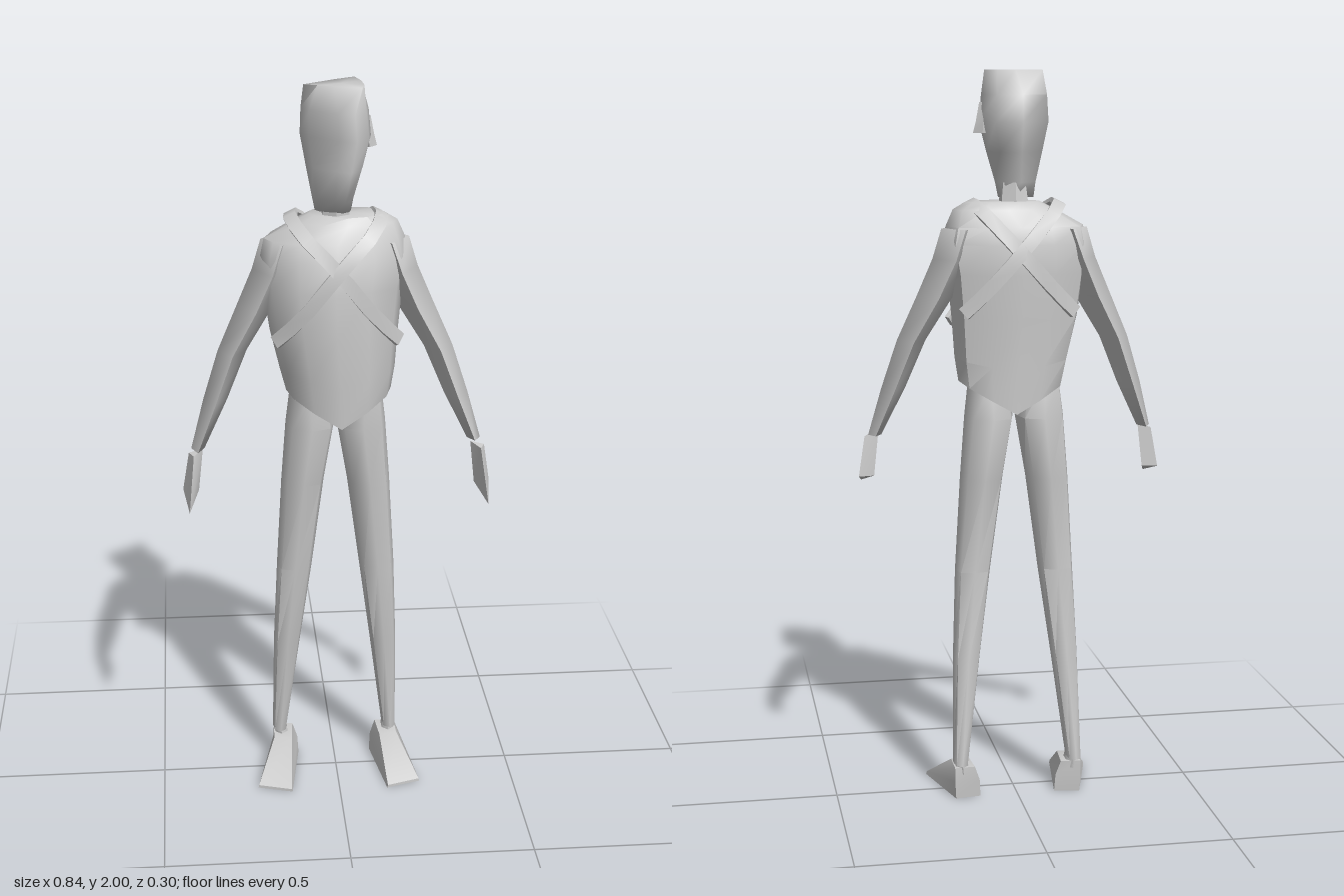
import * as THREE from 'three';
import { toCreasedNormals } from 'three/addons/utils/BufferGeometryUtils.js';

const material = new THREE.MeshStandardMaterial({ color: 0xcccccc, side: THREE.DoubleSide });

// Skin a list of rings (bottom to top, each counterclockwise from above) and close both ends.
function loft(name, rings, crease = 1) {
  const n = rings[0].length, last = rings.length - 1;
  const pos = rings.flat(2), index = [];
  for (let i = 0; i < last; i++) {
    for (let j = 0; j < n; j++) {
      const a = i * n + j, b = i * n + (j + 1) % n;
      index.push(a, b, b + n, a, b + n, a + n);
    }
  }
  [[0, true], [last, false]].forEach(([r, down]) => {
    const c = pos.length / 3;
    for (let k = 0; k < 3; k++) pos.push(rings[r].reduce((s, p) => s + p[k], 0) / n);
    for (let j = 0; j < n; j++) {
      const a = r * n + j, b = r * n + (j + 1) % n;
      index.push(...(down ? [c, b, a] : [c, a, b]));
    }
  });
  const g = new THREE.BufferGeometry();
  g.setAttribute('position', new THREE.Float32BufferAttribute(pos, 3));
  g.setIndex(index);
  const mesh = new THREE.Mesh(toCreasedNormals(g, crease), material);
  mesh.name = name;
  return mesh;
}

// Regular cross-section in the unit square, starting at the front.
function polygon(sides) {
  return Array.from({ length: sides }, (_, j) => {
    const t = (j / sides) * Math.PI * 2;
    return [Math.sin(t), Math.cos(t)];
  });
}

// Ring from [y, x min, x max, z back, z front]; sag pulls the middle down to a point.
function ring([y, x0, x1, z0, z1, sag = 0], section) {
  return section.map(([u, v]) => [
    (x0 + x1) / 2 + u * (x1 - x0) / 2, y - sag * (1 - Math.abs(u)), (z0 + z1) / 2 + v * (z1 - z0) / 2]);
}

// Mirror rings of points for the left (side 1) or right (side -1).
function mirrored(rings, side) {
  return rings.map(r => {
    const pts = r.map(([x, y, z]) => [x * side, y, z]);
    return side < 0 ? pts.reverse() : pts;
  });
}

function limb(name, side, rows, section, crease) {
  return loft(name, mirrored(rows.map(r => ring(r, section)), side), crease);
}

// Flat band following a path, its broad face turned outward from the body.
function strap(name, points) {
  const curve = new THREE.CatmullRomCurve3(points.map(p => new THREE.Vector3(...p)), false, 'centripetal');
  const rings = [], steps = 14;
  for (let i = 0; i <= steps; i++) {
    const p = curve.getPoint(i / steps), t = curve.getTangent(i / steps);
    const out = new THREE.Vector3(p.x * 0.4, Math.max(0, p.y - 1.5) * 0.7, p.z);
    out.addScaledVector(t, -out.dot(t)).normalize();
    const across = new THREE.Vector3().crossVectors(out, t);
    rings.push([[-1, -1], [1, -1], [1, 1], [-1, 1]].map(([u, v]) =>
      p.clone().addScaledVector(across, u * 0.018).addScaledVector(out, v * 0.007).toArray()));
  }
  return loft(name, rings, 0.8);
}

export function createModel() {
  const model = new THREE.Group();
  model.name = 'figure';

  // Torso: ridged front, flat back, hem pointed at front and back, sloping shoulders
  const torsoSection = [[0, 1], [0.5, 0.82], [0.88, 0.45], [1, 0], [0.87, -0.7], [0.45, -0.95],
    [0, -1], [-0.45, -0.95], [-0.87, -0.7], [-1, 0], [-0.88, 0.45], [-0.5, 0.82]];
  model.add(loft('torso', [
    [1.165, -0.135, 0.15, -0.11, 0.11, 0.08],
    [1.23, -0.152, 0.16, -0.113, 0.118, 0.03],
    [1.34, -0.178, 0.168, -0.118, 0.12],
    [1.46, -0.195, 0.18, -0.127, 0.12],
    [1.54, -0.2, 0.195, -0.127, 0.105],
    [1.585, -0.19, 0.185, -0.115, 0.085],
    [1.63, -0.11, 0.165, -0.095, 0.065],
    [1.65, -0.07, 0.13, -0.075, 0.05],
  ].map(r => ring(r, torsoSection)), 0.9));

  // Neck
  model.add(loft('neck', [
    [1.62, -0.045, 0.045, -0.06, 0.03],
    [1.70, -0.035, 0.035, -0.045, 0.03],
  ].map(r => ring(r, polygon(6)))));

  // Head: turned to one side, narrow jaw, jutting brow, three-cornered crown
  const headSection = [[0.02, 0.75], [0.5, 1], [0.87, 0.65], [1, 0],
    [0.65, -0.75], [-0.1, -1], [-1, -0.25], [-0.78, 0.2]];
  const crown = [[-0.01, 0.055], [0.06, 0.088], [0.07, 0.04], [0.068, -0.02],
    [0.055, -0.08], [0, -0.045], [-0.085, 0.02], [-0.05, 0.038]];
  model.add(loft('head', [
    ...[
      [1.66, -0.055, 0.04, -0.035, 0.035],
      [1.70, -0.063, 0.045, -0.05, 0.09],
      [1.78, -0.078, 0.07, -0.08, 0.102],
      [1.86, -0.092, 0.092, -0.11, 0.11],
      [1.93, -0.09, 0.084, -0.095, 0.114],
    ].map(r => ring(r, headSection)),
    crown.map(([x, z]) => [x, 1.995, z]),
  ], 2));
  model.add(loft('ear', [
    [1.83, 0.065, 0.108, -0.03, 0.02],
    [1.86, 0.065, 0.1, -0.025, 0.02],
    [1.91, 0.065, 0.09, -0.005, 0.01],
  ].map(r => ring(r, polygon(4)))));

  const legSection = polygon(8).map(p => p.map(c => Math.sign(c) * Math.abs(c) ** 0.75));
  for (const side of [1, -1]) {
    const name = side > 0 ? 'left' : 'right';
    const reach = side > 0 ? 0 : 0.035;

    // Arm: four-sided, ridged along the outside, tapering to a narrow wrist
    model.add(limb(name + 'Arm', side, [
      [1.02, 0.36, 0.396, -0.01 + reach / 3, 0.05 + reach],
      [1.15, 0.295, 0.36, -0.04, 0.052 + reach / 2],
      [1.28, 0.24, 0.318, -0.068, 0.055],
      [1.40, 0.165, 0.265, -0.1, 0.06],
      [1.50, 0.12, 0.222, -0.115, 0.065],
      [1.58, 0.09, 0.198, -0.105, 0.05],
    ], polygon(4), 1.7));

    // Hand: three-sided wedge flaring away from the wrist
    model.add(loft(name + 'Hand', mirrored([
      [[0.405, 0.87, 0.143], [0.421, 0.9, 0.04], [0.378, 0.9, 0.048]],
      [[0.39, 1.01, 0.082], [0.403, 1.01, 0.05], [0.365, 1.02, 0.05]],
    ], side)));

    // Trouser leg
    model.add(limb(name + 'Leg', side, [
      [0.10, 0.14, 0.18, -0.11, -0.02],
      [0.40, 0.10, 0.175, -0.085, 0.01],
      [0.64, 0.067, 0.165, -0.066, 0.033],
      [0.90, 0.032, 0.15, -0.09, 0.055],
      [1.07, 0.003, 0.137, -0.108, 0.078],
      [1.17, 0.02, 0.125, -0.085, 0.07],
    ], legSection));

    // Shoe: splayed wedge running down to a sharp square toe, plus ankle
    model.add(loft(name + 'Shoe', mirrored([
      [[0.136, 0, 0.15], [0.232, 0, 0.12], [0.175, 0, -0.085], [0.105, 0, -0.075]],
      [[0.138, 0.008, 0.15], [0.23, 0.008, 0.12], [0.178, 0.05, -0.09], [0.108, 0.05, -0.08]],
      [[0.128, 0.09, 0], [0.178, 0.09, -0.01], [0.178, 0.09, -0.088], [0.122, 0.09, -0.085]],
    ], side), 0.7));
    model.add(limb(name + 'Ankle', side, [
      [0.07, 0.132, 0.176, -0.09, -0.02],
      [0.12, 0.142, 0.176, -0.09, -0.03],
    ], polygon(6)));

    // Strap over one shoulder, crossing the chest and back
    const x = side * 0.12;
    model.add(strap(name + 'ShoulderStrap', [
      [-side * 0.165, 1.32, 0.06], [-side * 0.09, 1.405, 0.108], [0, 1.52, 0.12],
      [x * 0.75, 1.61, 0.08], [x, 1.645, 0.0], [x * 0.85, 1.63, -0.085],
      [0, 1.52, -0.14], [-side * 0.09, 1.42, -0.13], [-side * 0.15, 1.36, -0.11],
    ]));
  }
  return model;
}
